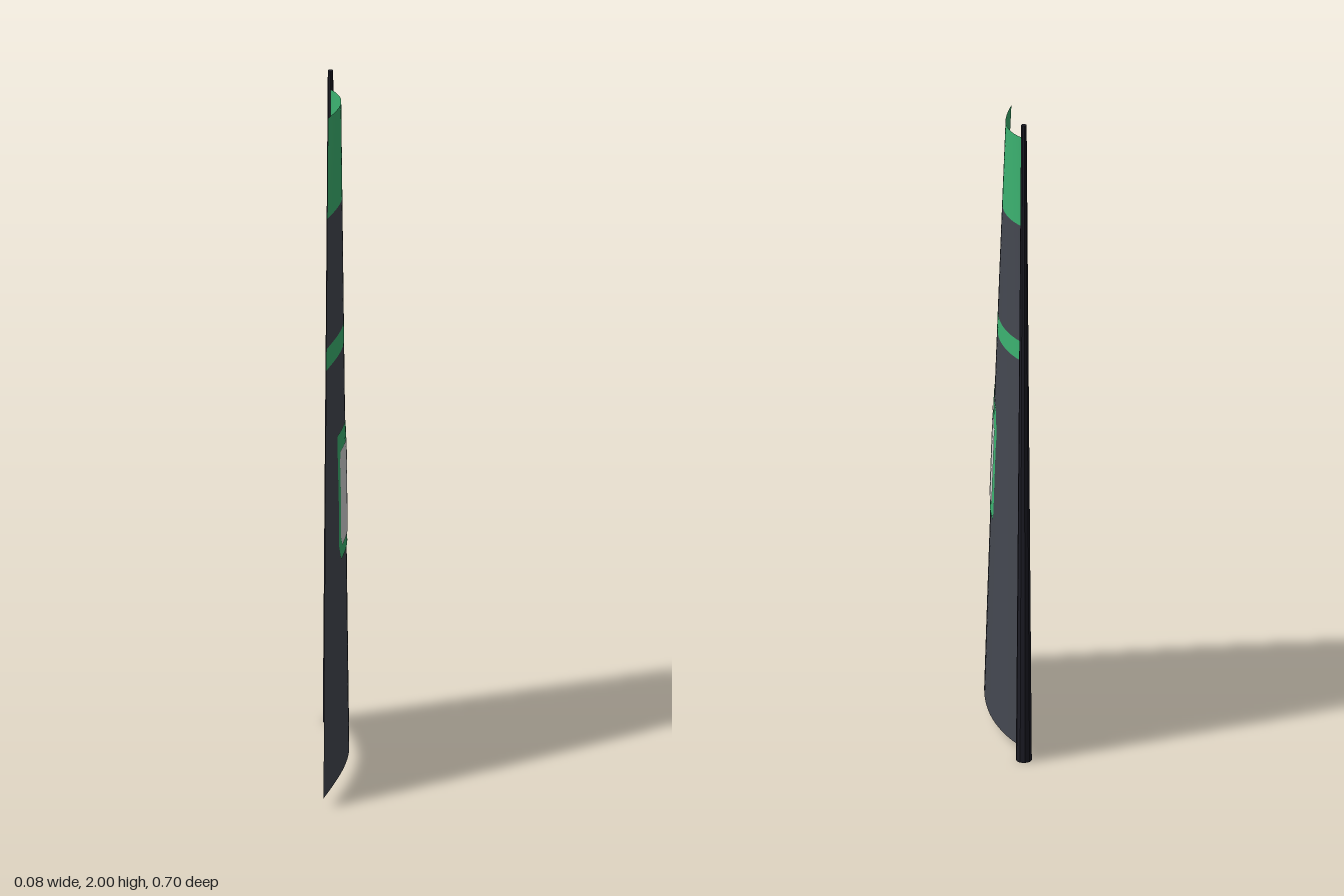
import * as THREE from 'three';

const LUFF = -0.303, FOOT = 0.03, HEAD = 1.95, X0 = -0.02;

// trailing edge of the sail at height y
const leech = (y) => {
  const t = y - FOOT;
  return 0.348 - 0.1735 * t - 0.0257 * t * t;
};

// cambered sail surface: sideways bulge at a given height and depth
function camber(y, z) {
  const u = Math.min(1, Math.max(0, (z - LUFF) / (leech(y) - LUFF)));
  const depth = 0.062 - 0.028 * (y - FOOT) / (HEAD - FOOT);
  return X0 + depth * Math.sin(Math.PI * Math.pow(u, 0.8));
}

// sheet lying on the sail, from rows of [y, back z, front z]
function sheet(name, rows, material, offset = 0, cols = 32) {
  const pos = [], index = [];
  rows.forEach(([y, z0, z1], r) => {
    for (let c = 0; c <= cols; c++) {
      const z = z0 + (z1 - z0) * c / cols;
      pos.push(camber(y, z) + offset, y, z);
      if (r && c) {
        const b = r * (cols + 1) + c, a = b - cols - 1;
        index.push(a - 1, b, a, a - 1, b - 1, b);
      }
    }
  });
  const geo = new THREE.BufferGeometry();
  geo.setAttribute('position', new THREE.Float32BufferAttribute(pos, 3));
  geo.setIndex(index);
  geo.computeVertexNormals();
  const mesh = new THREE.Mesh(geo, material);
  mesh.name = name;
  return mesh;
}

// full-width strip of the sail between two heights
function band(name, y0, y1, material) {
  const n = Math.max(2, Math.ceil((y1 - y0) / 0.06)), rows = [];
  for (let i = 0; i <= n; i++) {
    const y = y0 + (y1 - y0) * i / n;
    rows.push([y, LUFF, leech(y)]);
  }
  return sheet(name, rows, material);
}

export function createModel() {
  const make = (name, color) => {
    const m = new THREE.MeshStandardMaterial({ color, side: THREE.DoubleSide });
    m.name = name;
    return m;
  };
  const cloth = make('charcoal cloth', 0x454851);
  const green = make('green', 0x3cb371);
  const pale = make('pale grey', 0xd3d3d3);
  const dark = make('mast black', 0x1d1d26);
  dark.flatShading = true;

  const model = new THREE.Group();
  model.name = 'sail and mast';

  // tapered mast
  const mast = new THREE.Mesh(new THREE.CylinderGeometry(0.008, 0.023, 2, 10), dark);
  mast.name = 'mast';
  mast.position.set(X0, 1, -0.325);
  model.add(mast);

  // sail cloth in coloured bands
  model.add(
    band('lowerSail', FOOT, 1.245, cloth),
    band('sailStripe', 1.245, 1.305, green),
    band('upperSail', 1.305, 1.67, cloth),
    band('sailHead', 1.67, HEAD, green)
  );

  // slanted panel with a green border, on both faces of the sail
  const border = [
    [0.65, -0.09, 0.055], [0.675, -0.096, 0.068], [0.70, -0.099, 0.078], [0.73, -0.102, 0.073],
    [0.77, -0.106, 0.062], [0.88, -0.118, 0.053], [0.935, -0.13, 0.048],
    [0.96, -0.125, 0.046], [1.02, -0.105, 0.04]
  ];
  const centre = [
    [0.69, -0.07, 0.045], [0.715, -0.08, 0.055], [0.78, -0.087, 0.046],
    [0.86, -0.097, 0.035], [0.935, -0.105, 0.03], [0.967, -0.09, 0.02]
  ];
  for (const side of [1, -1]) {
    const face = side > 0 ? 'left' : 'right';
    model.add(
      sheet(face + 'PanelBorder', border, green, side * 0.002, 12),
      sheet(face + 'PanelCentre', centre, pale, side * 0.004, 12)
    );
  }
  return model;
}
